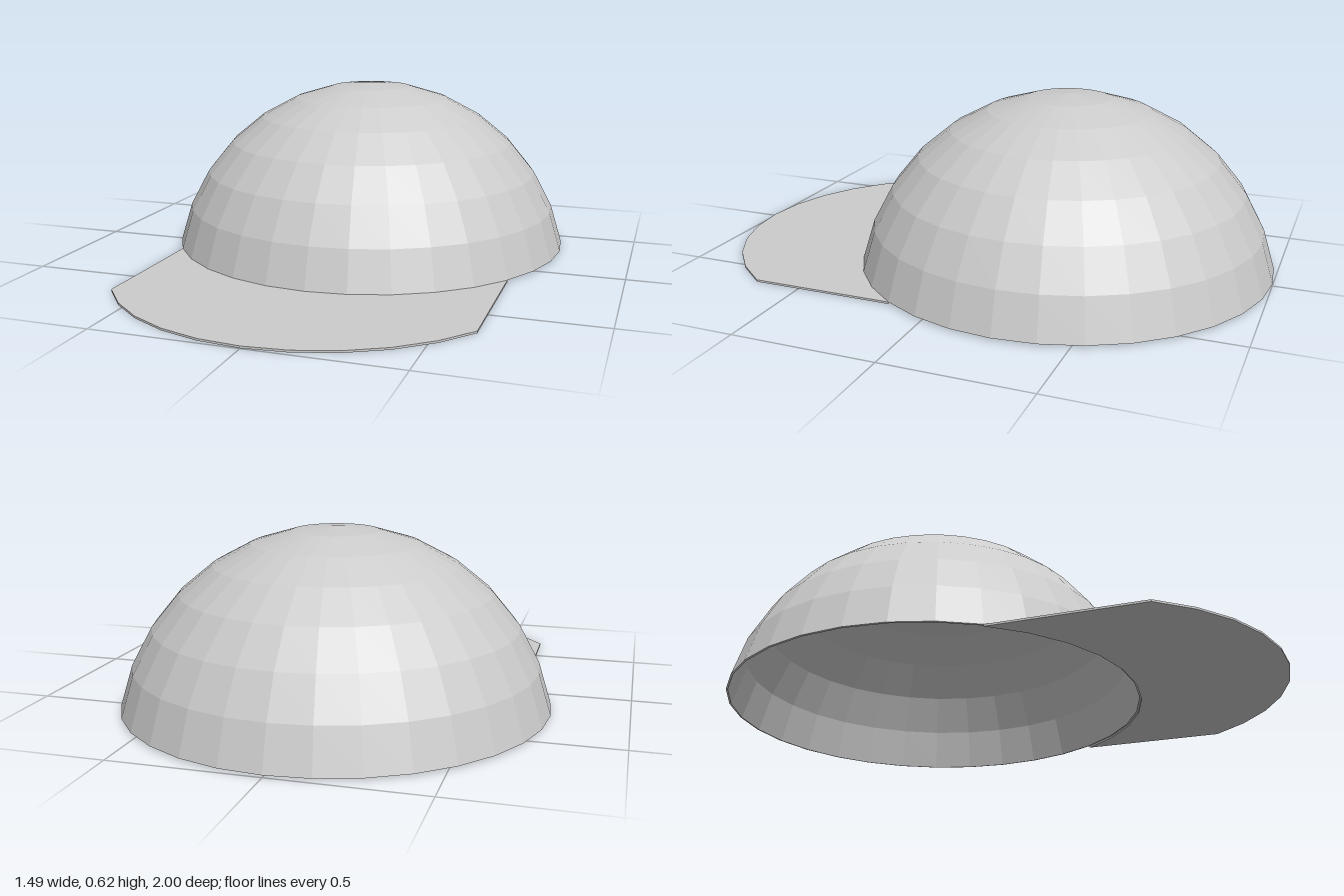
import * as THREE from 'three';

const STEP = Math.PI / 16;      // facet angle, around the dome and down it
const RADIUS = 0.7576;          // sphere the crown is cut from
const WALL = 0.007;             // cloth thickness
const RINGS = 7;
const CENTRE_Z = -0.257;
const CENTRE_Y = WALL - RADIUS * Math.cos(RINGS * STEP);

const material = new THREE.MeshStandardMaterial({
  color: 0xcccccc, flatShading: true, side: THREE.DoubleSide,
});

function addPart(group, name, geometry) {
  const mesh = new THREE.Mesh(geometry, material);
  mesh.name = name;
  group.add(mesh);
}

// Thin domed shell: down the inside, around the rim, up the outside
function crownGeometry() {
  const profile = [];
  const point = (r, i) => profile.push(
    new THREE.Vector2(r * Math.sin(i * STEP), CENTRE_Y + r * Math.cos(i * STEP)));
  for (let i = 0; i <= RINGS; i++) point(RADIUS - WALL, i);
  for (let i = RINGS; i >= 0; i--) point(RADIUS, i);
  return new THREE.LatheGeometry(profile, 32).translate(0, 0, CENTRE_Z);
}

// Flat peak: the front arc of the rim swept straight forward
function brimGeometry() {
  const rim = RADIUS * Math.sin(RINGS * STEP);
  const reach = 0.511;
  const arc = (shift) => Array.from({ length: 11 }, (_, i) => {
    const a = (i - 5) * STEP;
    return new THREE.Vector2(rim * Math.sin(a), CENTRE_Z + rim * Math.cos(a) + shift);
  });
  const shape = new THREE.Shape([...arc(0), ...arc(reach).reverse()]);
  return new THREE.ExtrudeGeometry(shape, { depth: WALL, bevelEnabled: false })
    .rotateX(Math.PI / 2)
    .translate(0, WALL, 0);
}

export function createModel() {
  const cap = new THREE.Group();
  cap.name = 'cap';
  addPart(cap, 'crown', crownGeometry());
  addPart(cap, 'brim', brimGeometry());
  return cap;
}
